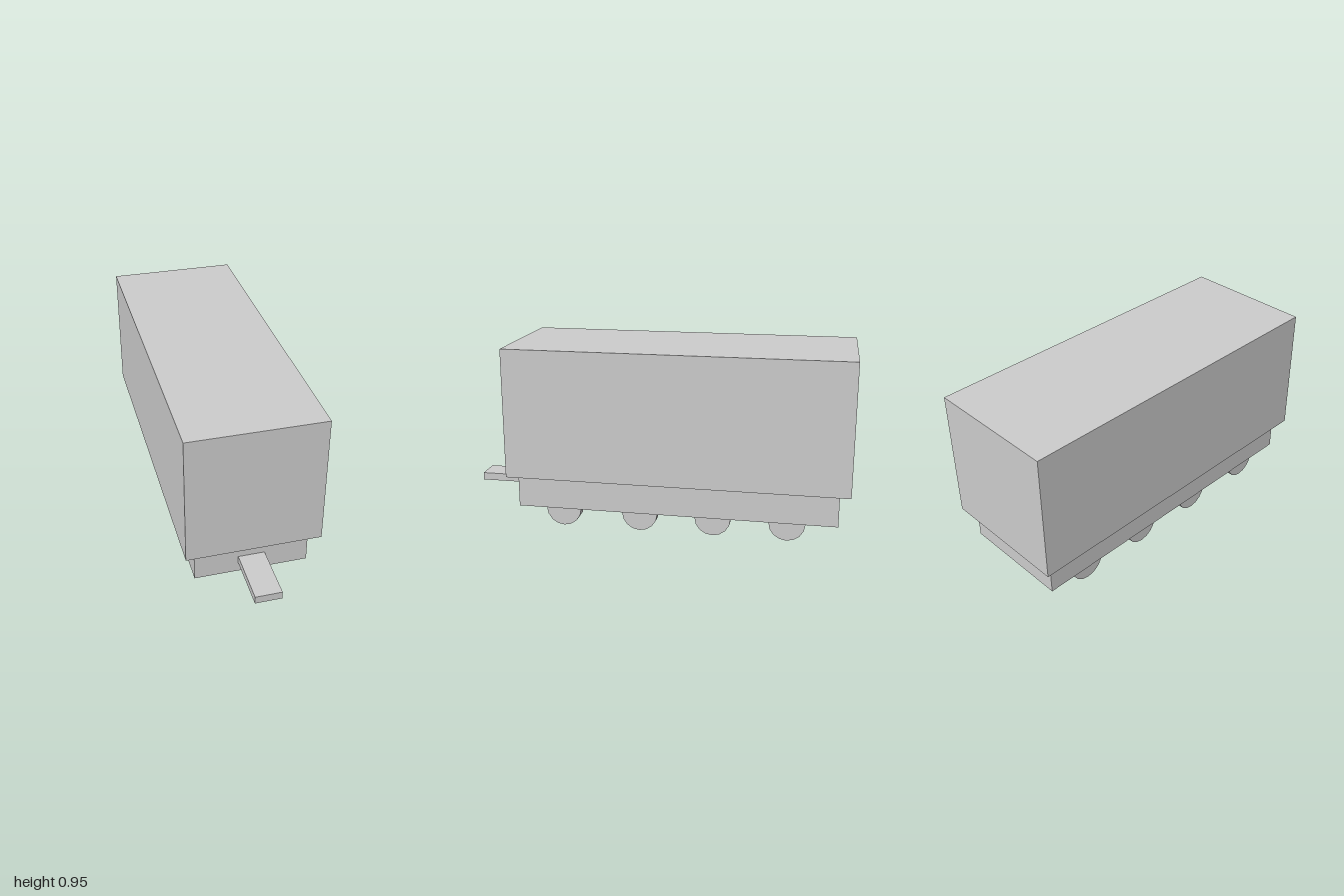
import * as THREE from 'three';

export function createModel() {
  const wagon = new THREE.Group();
  wagon.name = 'boxWagon';
  const grey = new THREE.MeshStandardMaterial({ color: 0xcccccc, flatShading: true });

  // Box spanning y0..y1 and z0..z1, centred on x
  const addBox = (name, width, y0, y1, z0, z1) => {
    const mesh = new THREE.Mesh(new THREE.BoxGeometry(width, y1 - y0, z1 - z0), grey);
    mesh.name = name;
    mesh.position.set(0, (y0 + y1) / 2, (z0 + z1) / 2);
    wagon.add(mesh);
  };

  addBox('cargoBody', 0.678, 0.276, 0.953, -1, 0.765);
  addBox('chassis', 0.574, 0.104, 0.276, -0.946, 0.715);
  addBox('coupler', 0.134, 0.156, 0.196, 0.65, 1);

  // Four pairs of wheels, their upper halves sunk into the chassis
  const radius = 0.0935;
  const wheelGeometry = new THREE.CylinderGeometry(radius, radius, 0.057, 16).rotateZ(Math.PI / 2);
  [0.481, 0.072, -0.311, -0.691].forEach((z, i) => {
    for (const side of [1, -1]) {
      const wheel = new THREE.Mesh(wheelGeometry, grey);
      wheel.name = `${side > 0 ? 'left' : 'right'}Wheel${i + 1}`;
      wheel.position.set(side * 0.2275, radius, z);
      wagon.add(wheel);
    }
  });

  return wagon;
}
